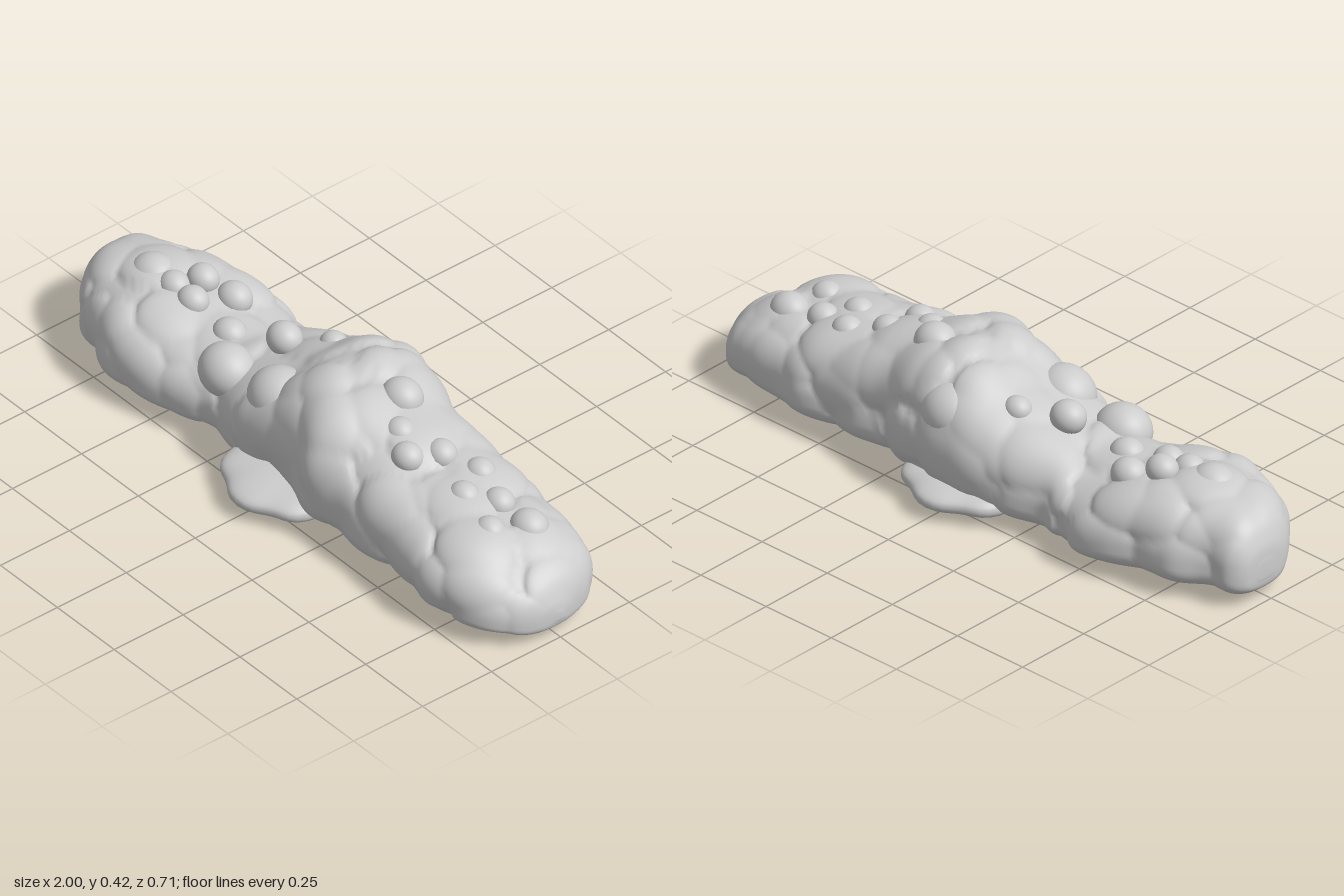
import * as THREE from 'three';

// Body stations: x, top y, bottom y, front z, back z
const STATIONS = [
  [-1.0, 0.13, 0.08, 0.01, -0.05], [-0.99, 0.18, 0.045, 0.07, -0.09],
  [-0.95, 0.24, 0.025, 0.13, -0.12], [-0.87, 0.27, 0.02, 0.2, -0.14],
  [-0.79, 0.285, 0.018, 0.23, -0.19], [-0.68, 0.29, 0.015, 0.265, -0.21],
  [-0.58, 0.27, 0.015, 0.26, -0.24], [-0.48, 0.245, 0.012, 0.24, -0.255],
  [-0.38, 0.235, 0.012, 0.215, -0.235], [-0.31, 0.26, 0.01, 0.2, -0.21],
  [-0.2, 0.3, 0.008, 0.23, -0.25], [-0.1, 0.34, 0.005, 0.22, -0.27],
  [0.0, 0.405, 0.003, 0.21, -0.275], [0.09, 0.425, 0.003, 0.22, -0.28],
  [0.19, 0.4, 0.005, 0.25, -0.265], [0.3, 0.355, 0.008, 0.23, -0.225],
  [0.4, 0.33, 0.01, 0.235, -0.23], [0.5, 0.3, 0.012, 0.23, -0.23],
  [0.6, 0.285, 0.015, 0.24, -0.24], [0.7, 0.275, 0.015, 0.26, -0.215],
  [0.8, 0.26, 0.018, 0.24, -0.205], [0.9, 0.215, 0.02, 0.19, -0.18],
  [0.96, 0.165, 0.025, 0.13, -0.12], [0.99, 0.12, 0.04, 0.07, -0.05],
  [1.0, 0.09, 0.065, 0.01, -0.01],
];

// Small puffs: x, y, z, radius
const PUFFS = [
  [-0.62, 0.285, -0.04, 0.045], [-0.66, 0.27, 0.03, 0.045], [-0.58, 0.265, 0.03, 0.045],
  [-0.75, 0.25, 0.03, 0.07], [-0.53, 0.25, -0.08, 0.05], [-0.43, 0.23, 0.02, 0.05],
  [-0.32, 0.22, 0.12, 0.08], [-0.25, 0.3, -0.03, 0.05], [-0.13, 0.31, -0.11, 0.04],
  [-0.1, 0.25, 0.11, 0.09], [0.04, 0.27, -0.19, 0.09], [0.23, 0.36, -0.06, 0.06],
  [0.32, 0.33, 0.02, 0.045], [0.4, 0.31, 0.06, 0.045], [0.44, 0.3, -0.03, 0.045],
  [0.55, 0.275, -0.08, 0.045], [0.6, 0.27, 0.02, 0.045], [0.67, 0.255, -0.05, 0.045],
  [0.75, 0.25, 0.05, 0.045], [0.79, 0.235, -0.06, 0.055], [0.22, 0.25, 0.12, 0.09],
];

function seeded(seed) {
  return () => {
    seed = (seed * 16807) % 2147483647;
    return seed / 2147483647;
  };
}

const signedPow = (v, p) => Math.sign(v) * Math.abs(v) ** p;

// Soft dent raising the underside
const dent = (x, z, cx, cz, rx, rz) => Math.exp(-(((x - cx) / rx) ** 2) - ((z - cz) / rz) ** 2);

// Lofted body swollen by overlapping round billows
function bodyGeometry() {
  const heights = new THREE.CatmullRomCurve3(
    STATIONS.map((s) => new THREE.Vector3(s[0], s[1], s[2])), false, 'catmullrom');
  const widths = new THREE.CatmullRomCurve3(
    STATIONS.map((s) => new THREE.Vector3(s[0], s[3], s[4])), false, 'catmullrom');
  const random = seeded(73);
  const rows = 200, sides = 96;

  const surface = (t, a) => {
    const h = heights.getPoint(t), w = widths.getPoint(t);
    const waist = h.z + (h.y - h.z) * 0.4;
    const mid = (w.y + w.z) / 2, half = (w.y - w.z) / 2;
    const s = Math.sin(a);
    const y = s > 0 ? waist + (h.y - waist) * s ** 0.9 : waist - (waist - h.z) * (-s) ** 0.55;
    return new THREE.Vector3(h.x, y, mid + half * signedPow(Math.cos(a), 0.8));
  };

  const billows = [];
  for (let i = 0; i < 150; i++) {
    billows.push({
      centre: surface(0.03 + random() * 0.94, -0.3 + random() * (Math.PI + 0.6)),
      radius: 0.06 + random() * 0.07,
    });
  }

  const positions = [], index = [];
  for (let i = 0; i <= rows; i++) {
    for (let j = 0; j < sides; j++) {
      const t = i / rows, a = (j / sides) * Math.PI * 2;
      const p = surface(t, a);
      let swell = 0;
      for (const { centre, radius } of billows) {
        const d = p.distanceTo(centre) / radius;
        if (d < 1) swell = Math.max(swell, Math.sqrt(1 - d * d) * radius * 0.25);
      }
      const fade = Math.min(1, t * 12, (1 - t) * 12);
      const push = (swell - 0.014) * fade;
      p.z += Math.cos(a) * push;
      if (Math.sin(a) > 0) p.y += Math.sin(a) * push;
      else {
        const lift = 0.08 * dent(p.x, p.z, -0.7, 0, 0.13, 0.07)
          + 0.04 * dent(p.x, p.z, 0.82, 0.15, 0.12, 0.06);
        p.y += lift * -Math.sin(a);
      }
      positions.push(THREE.MathUtils.clamp(p.x, -1, 1), Math.max(0.002, p.y), p.z);
      if (i < rows) {
        const k = (j + 1) % sides;
        const b = i * sides + j, c = i * sides + k;
        index.push(b, b + sides, c, c, b + sides, c + sides);
      }
    }
  }

  // Close both ends
  for (const [row, flip] of [[0, false], [rows, true]]) {
    const h = heights.getPoint(row / rows), w = widths.getPoint(row / rows);
    const tip = positions.length / 3;
    positions.push(h.x, (h.y + h.z) / 2, (w.y + w.z) / 2);
    for (let j = 0; j < sides; j++) {
      const b = row * sides + j, c = row * sides + ((j + 1) % sides);
      index.push(tip, flip ? c : b, flip ? b : c);
    }
  }

  const geometry = new THREE.BufferGeometry();
  geometry.setAttribute('position', new THREE.Float32BufferAttribute(positions, 3));
  geometry.setIndex(index);
  geometry.computeVertexNormals();
  return geometry;
}

// Low rounded slab with a gently scalloped rim
function baseGeometry() {
  const geometry = new THREE.SphereGeometry(1, 64, 32);
  const p = geometry.attributes.position;
  for (let i = 0; i < p.count; i++) {
    const x = p.getX(i), y = p.getY(i), z = p.getZ(i);
    const rim = 1 + 0.03 * Math.cos(Math.atan2(z, x) * 8);
    p.setXYZ(i, signedPow(x, 0.85) * 0.22 * rim,
      0.055 + signedPow(y, 0.8) * 0.053, signedPow(z, 0.8) * 0.343 * rim);
  }
  geometry.computeVertexNormals();
  return geometry;
}

export function createModel() {
  const group = new THREE.Group();
  group.name = 'cloud';
  const cloudGrey = new THREE.MeshStandardMaterial({ color: 0xcccccc });
  cloudGrey.name = 'cloudGrey';

  const add = (name, geometry) => {
    const mesh = new THREE.Mesh(geometry, cloudGrey);
    mesh.name = name;
    group.add(mesh);
    return mesh;
  };

  add('cloudBody', bodyGeometry());
  add('lowerCloudLobes', baseGeometry());

  // Little puffs rising from the crown
  const sphere = new THREE.SphereGeometry(1, 28, 20);
  for (const [x, y, z, r] of PUFFS) {
    const puff = add('puff', sphere);
    puff.position.set(x, y, z);
    puff.scale.set(r * 1.1, r, r);
  }
  return group;
}
